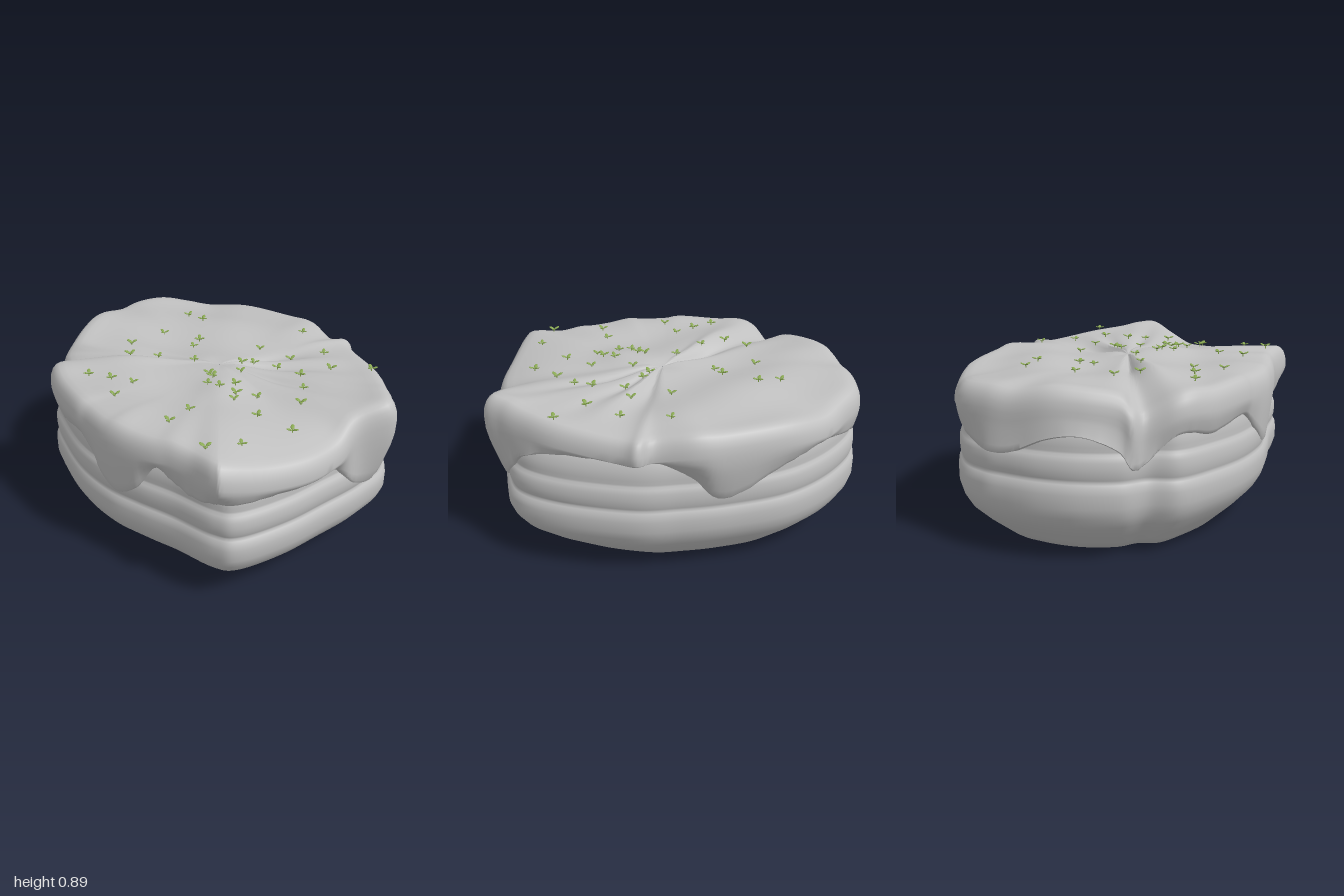
import * as THREE from 'three';
import { toCreasedNormals } from 'three/addons/utils/BufferGeometryUtils.js';

const N = 252; // points around each ring

// Cap outline: x, z, height of the hanging lower edge, height of the upper rim
const CAP = [
  [0.94, 0, 0.6, 0.77], [0.94, 0.2, 0.59, 0.76], [0.89, 0.42, 0.605, 0.78],
  [0.82, 0.63, 0.6, 0.83], [0.77, 0.665, 0.59, 0.84], [0.62, 0.67, 0.575, 0.83],
  [0.5, 0.7, 0.62, 0.84], [0.41, 0.735, 0.66, 0.83], [0.3, 0.77, 0.51, 0.83],
  [0.18, 0.8, 0.435, 0.84], [0.09, 0.81, 0.465, 0.83], [-0.06, 0.8, 0.6, 0.83],
  [-0.17, 0.8, 0.645, 0.84], [-0.4, 0.75, 0.6, 0.83], [-0.54, 0.7, 0.63, 0.84],
  [-0.62, 0.64, 0.62, 0.82], [-0.69, 0.525, 0.5, 0.75], [-0.76, 0.49, 0.475, 0.77],
  [-0.78, 0.42, 0.57, 0.83], [-0.87, 0.28, 0.64, 0.86], [-0.94, 0.13, 0.62, 0.87],
  [-0.97, -0.05, 0.54, 0.84], [-0.98, -0.2, 0.53, 0.85], [-0.95, -0.37, 0.58, 0.84],
  [-0.84, -0.49, 0.62, 0.82], [-0.72, -0.6, 0.65, 0.8], [-0.5, -0.72, 0.59, 0.83],
  [-0.18, -0.8, 0.455, 0.84], [-0.01, -0.82, 0.58, 0.85], [0.18, -0.78, 0.69, 0.82],
  [0.27, -0.82, 0.69, 0.83], [0.36, -0.76, 0.69, 0.82], [0.65, -0.62, 0.69, 0.85],
  [0.82, -0.49, 0.62, 0.87], [0.91, -0.41, 0.5, 0.89], [0.99, -0.32, 0.415, 0.89],
  [0.92, -0.15, 0.46, 0.84],
];

// Outline of the layered body: x, z
const BODY = [
  [0.915, 0.05], [0.9, 0.3], [0.84, 0.55], [0.74, 0.635], [0.5, 0.69], [0.3, 0.75],
  [0.1, 0.795], [-0.15, 0.795], [-0.4, 0.74], [-0.6, 0.665], [-0.69, 0.535], [-0.81, 0.45],
  [-0.92, 0.28], [-0.98, 0.1], [-1, -0.08], [-0.995, -0.22], [-0.93, -0.39], [-0.74, -0.575],
  [-0.5, -0.7], [-0.2, -0.75], [0.05, -0.76], [0.3, -0.745], [0.66, -0.62], [0.87, -0.46],
  [0.92, -0.22],
];

// Body profile: outline scale, height
const PROFILE = [
  [0.72, 0.005], [0.78, 0.05], [0.86, 0.11], [0.945, 0.185], [0.982, 0.24], [1, 0.29],
  [1, 0.35], [0.995, 0.38], [0.983, 0.397], [0.975, 0.408], [0.979, 0.42], [0.985, 0.44],
  [0.987, 0.47], [0.984, 0.505], [0.974, 0.53], [0.962, 0.542], [0.96, 0.552], [0.963, 0.575],
  [0.955, 0.62], [0.93, 0.68], [0.88, 0.72],
];

// Sprout positions: x, z
const SPROUTS = [
  [0.08, -0.61], [0.32, -0.53], [0.64, -0.55], [0.48, -0.41], [0.04, -0.31], [0.25, -0.34],
  [0.27, -0.22], [0.44, -0.22], [0.53, -0.15], [0.17, -0.14], [0.13, -0.09], [0.62, -0.04],
  [0.21, -0.01], [-0.54, -0.27], [-0.42, -0.28], [-0.26, -0.12], [-0.23, -0.05],
  [-0.46, -0.02], [-0.46, 0.21], [-0.35, 0.3], [-0.2, 0.22], [-0.04, 0.1], [-0.32, 0.59],
  [-0.2, 0.53], [-0.09, 0.47], [-0.04, 0.62], [0.13, 0.14], [0.17, 0.15], [0.2, 0.21],
  [0.27, 0.19], [0.3, 0.11], [0.36, 0.16], [0.39, 0.2], [0.43, 0.08], [0.56, 0.2],
  [0.74, 0.14], [0.7, 0.43], [0.32, 0.43], [0.34, 0.57], [0.63, 0.59],
];

// Smooth closed ring through x, z points, with a chosen column as height
function ring(points, column) {
  const vs = points.map((p) => new THREE.Vector3(p[0], column ? p[column] : 0, p[1]));
  const curve = new THREE.CatmullRomCurve3(vs, true, 'catmullrom', 0.5);
  return Array.from({ length: N }, (_, i) => curve.getPoint(i / N));
}

// Skin a stack of closed rings, from the bottom outwards and up
function loft(rows, crease) {
  const pos = rows.flat().flatMap((v) => [v.x, v.y, v.z]);
  const index = [];
  for (let r = 0; r < rows.length - 1; r++) {
    for (let i = 0; i < N; i++) {
      const a = r * N + i, b = r * N + ((i + 1) % N);
      index.push(a, a + N, b, b, a + N, b + N);
    }
  }
  const geometry = new THREE.BufferGeometry();
  geometry.setAttribute('position', new THREE.Float32BufferAttribute(pos, 3));
  geometry.setIndex(index);
  return toCreasedNormals(geometry, crease);
}

// Rolling height of the top, with creases running out from the middle
const CREASES = [
  [2.6, 0.1, -0.045], [2.35, 0.1, 0.02], [-1.2, 0.14, -0.03], [-0.95, 0.08, 0.025],
  [-0.75, 0.08, -0.02], [-0.34, 0.1, -0.03], [0.1, 0.15, -0.015],
];
function topHeight(x, z, t) {
  const angle = Math.atan2(z, x - 0.05);
  let y = 0.842 + 0.014 * Math.sin(8 * x + 1) * Math.cos(9 * z) + 0.01 * Math.sin(9 * z + 5 * x);
  for (const [a, width, depth] of CREASES) {
    const d = Math.atan2(Math.sin(angle - a), Math.cos(angle - a));
    y += depth * Math.exp(-((d / width) ** 2)) * Math.min(1, t * 3) * (1 - 0.6 * t);
  }
  // low mound beside the middle, and the pinched middle itself
  y += 0.022 * Math.exp(-((x - 0.26) ** 2 + (z - 0.17) ** 2) / 0.012);
  return y - 0.015 * Math.exp(-((t / 0.06) ** 2));
}

function makeBody(outline) {
  // the bands rise a little towards the right-hand end
  const at = (s, y) => outline.map((p) => new THREE.Vector3(
    p.x * s - 0.11 * Math.max(0, 1 - s),
    y + 0.02 * Math.max(0, -p.x) ** 2 * THREE.MathUtils.smoothstep(y, 0.2, 0.4),
    p.z * s,
  ));
  return loft([at(0.001, 0.02), at(0.4, 0.015), ...PROFILE.map(([s, y]) => at(s, y))], 1.2);
}

function makeCap(bodyRing) {
  const lower = ring(CAP, 2), upper = ring(CAP, 3);
  // where the hanging edge rests on the body
  const direction = (p) => new THREE.Vector2(p.x, p.z).normalize();
  const bodyDirections = bodyRing.map(direction);
  const rest = lower.map((p) => {
    const d = direction(p);
    let best = 0;
    bodyDirections.forEach((b, i) => { if (b.dot(d) > bodyDirections[best].dot(d)) best = i; });
    const s = THREE.MathUtils.lerp(0.996, 0.978, THREE.MathUtils.smoothstep(p.y, 0.5, 0.57));
    return d.multiplyScalar(Math.hypot(bodyRing[best].x, bodyRing[best].z) * s);
  });
  const rows = [];
  // skirt: f runs from the hanging edge up to the shoulder
  const skirt = (s, f, out) => rows.push(lower.map((p, i) => new THREE.Vector3(
    THREE.MathUtils.lerp(rest[i].x, p.x, out) * s,
    p.y + (upper[i].y - 0.11 - p.y) * f,
    THREE.MathUtils.lerp(rest[i].y, p.z, out) * s,
  )));
  skirt(0.93, 0.03, 0);
  skirt(0.99, 0, 0);
  skirt(1, 0.05, 0.05);
  for (let f = 0.2; f < 1.01; f += 0.2) skirt(1, f, THREE.MathUtils.smoothstep(f, -0.2, 0.9));
  // rings drawn in towards the middle of the top
  const add = (s, height) => rows.push(lower.map((p, i) => {
    const x = 0.05 + (p.x - 0.05) * s, z = p.z * s;
    return new THREE.Vector3(x, height(upper[i].y, x, z), z);
  }));
  // rounded shoulder
  add(0.994, (rim) => rim - 0.07);
  add(0.981, (rim) => rim - 0.038);
  add(0.962, (rim) => rim - 0.016);
  add(0.94, (rim) => rim - 0.004);
  // rolling top surface
  for (let k = 22; k >= 0; k--) {
    const t = Math.max(0.002, k / 24.4);
    const w = (t / 0.92) ** 4;
    add(t, (rim, x, z) => THREE.MathUtils.lerp(topHeight(x, z, t), rim, Math.min(1, w)));
  }
  return loft(rows, 0.9);
}

export function createModel() {
  const model = new THREE.Group();
  model.name = 'layeredRock';
  const stone = new THREE.MeshStandardMaterial({ color: 0xc0c0c0 });
  stone.name = 'stoneGrey';
  const green = new THREE.MeshStandardMaterial({ color: 0x88a850 });
  green.name = 'leafGreen';

  const part = (name, geometry, material, parent = model) => {
    const mesh = new THREE.Mesh(geometry, material);
    mesh.name = name;
    parent.add(mesh);
    return mesh;
  };
  const bodyRing = ring(BODY, 0);
  part('layeredBody', makeBody(bodyRing), stone);
  const cap = part('drapedCap', makeCap(bodyRing), stone);

  // Three-leaved sprouts standing on the cap
  const leaf = new THREE.SphereGeometry(1, 8, 5).scale(0.014, 0.003, 0.009)
    .translate(0.016, 0, 0).rotateZ(0.35).translate(0, 0.012, 0);
  const stem = new THREE.CylinderGeometry(0.002, 0.003, 0.022, 5).translate(0, 0.004, 0);
  const down = new THREE.Vector3(0, -1, 0);
  SPROUTS.forEach(([x, z], i) => {
    const hit = new THREE.Raycaster(new THREE.Vector3(x, 2, z), down).intersectObject(cap)[0];
    const sprout = new THREE.Group();
    sprout.name = 'sprout';
    sprout.position.set(x, hit ? hit.point.y : 0.85, z);
    sprout.rotation.y = i * 2.4;
    sprout.scale.setScalar(1 + 0.06 * (i % 4));
    part('stem', stem, green, sprout);
    for (let k = 0; k < 3; k++) {
      part('leaf', leaf, green, sprout).rotation.y = (k * Math.PI * 2) / 3;
    }
    model.add(sprout);
  });
  return model;
}
